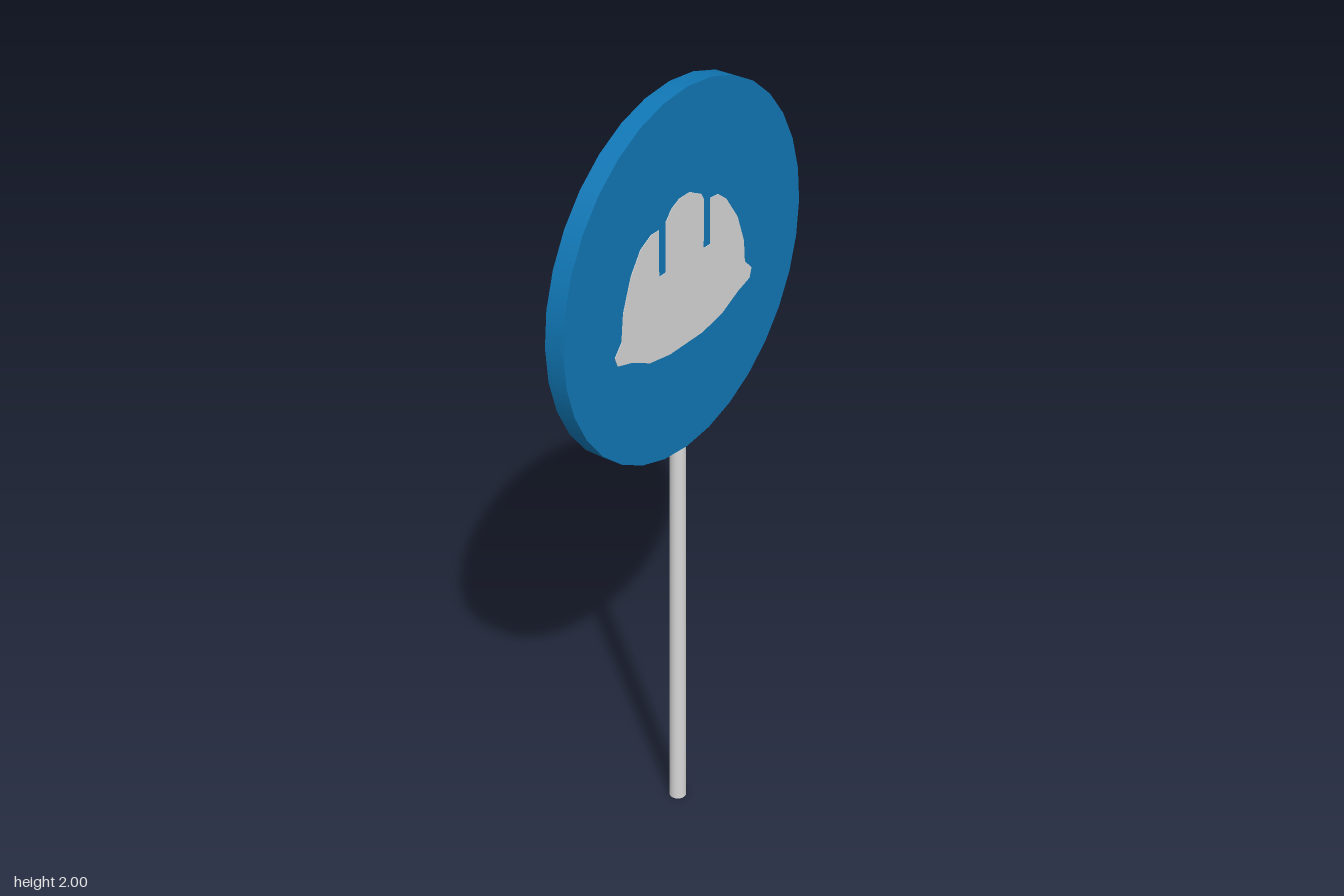
import * as THREE from 'three';

export function createModel() {
  const signBlue = new THREE.MeshStandardMaterial({ color: 0x1077b5 });
  const lightGrey = new THREE.MeshStandardMaterial({ color: 0xd8d8d8 });
  signBlue.name = 'signBlue';
  lightGrey.name = 'lightGrey';

  const group = new THREE.Group();
  group.name = 'safetySign';
  const add = (name, geometry, material, x, y, z) => {
    const mesh = new THREE.Mesh(geometry, material);
    mesh.name = name;
    mesh.position.set(x, y, z);
    group.add(mesh);
  };

  // Round pole, just entering the rim of the disc
  const poleHeight = 1.08;
  add('pole', new THREE.CylinderGeometry(0.02, 0.022, poleHeight, 16), lightGrey, -0.003, poleHeight / 2, 0);

  // Upright sign disc
  const disc = new THREE.CylinderGeometry(0.465, 0.465, 0.05, 32).rotateX(Math.PI / 2);
  add('signDisc', disc, signBlue, 0, 1.535, 0);

  // Hard hat emblem: brim, dome and raised centre ridge between two slots
  const outline = [
    [-0.28, 1.44], [-0.27, 1.415], [-0.217, 1.4], [-0.148, 1.367], [-0.07, 1.354],
    [0.06, 1.354], [0.14, 1.369], [0.206, 1.4], [0.254, 1.415], [0.262, 1.44],
    [0.233, 1.468], [0.228, 1.526], [0.2, 1.6], [0.153, 1.665], [0.12, 1.69], [0.09, 1.692],
    [0.09, 1.574], [0.063, 1.574], [0.063, 1.7],
    [0.053, 1.717], [0.026, 1.73], [0.01, 1.739], [-0.032, 1.739], [-0.063, 1.725], [-0.085, 1.7],
    [-0.085, 1.574], [-0.111, 1.574], [-0.111, 1.692],
    [-0.14, 1.692], [-0.18, 1.672], [-0.217, 1.62], [-0.247, 1.54], [-0.254, 1.47],
  ].map(([x, y]) => new THREE.Vector2(x, y));
  const emblem = new THREE.ExtrudeGeometry(new THREE.Shape(outline), { depth: 0.002, bevelEnabled: false });
  add('hardHatEmblem', emblem, lightGrey, 0, 0, 0.0245);

  return group;
}
